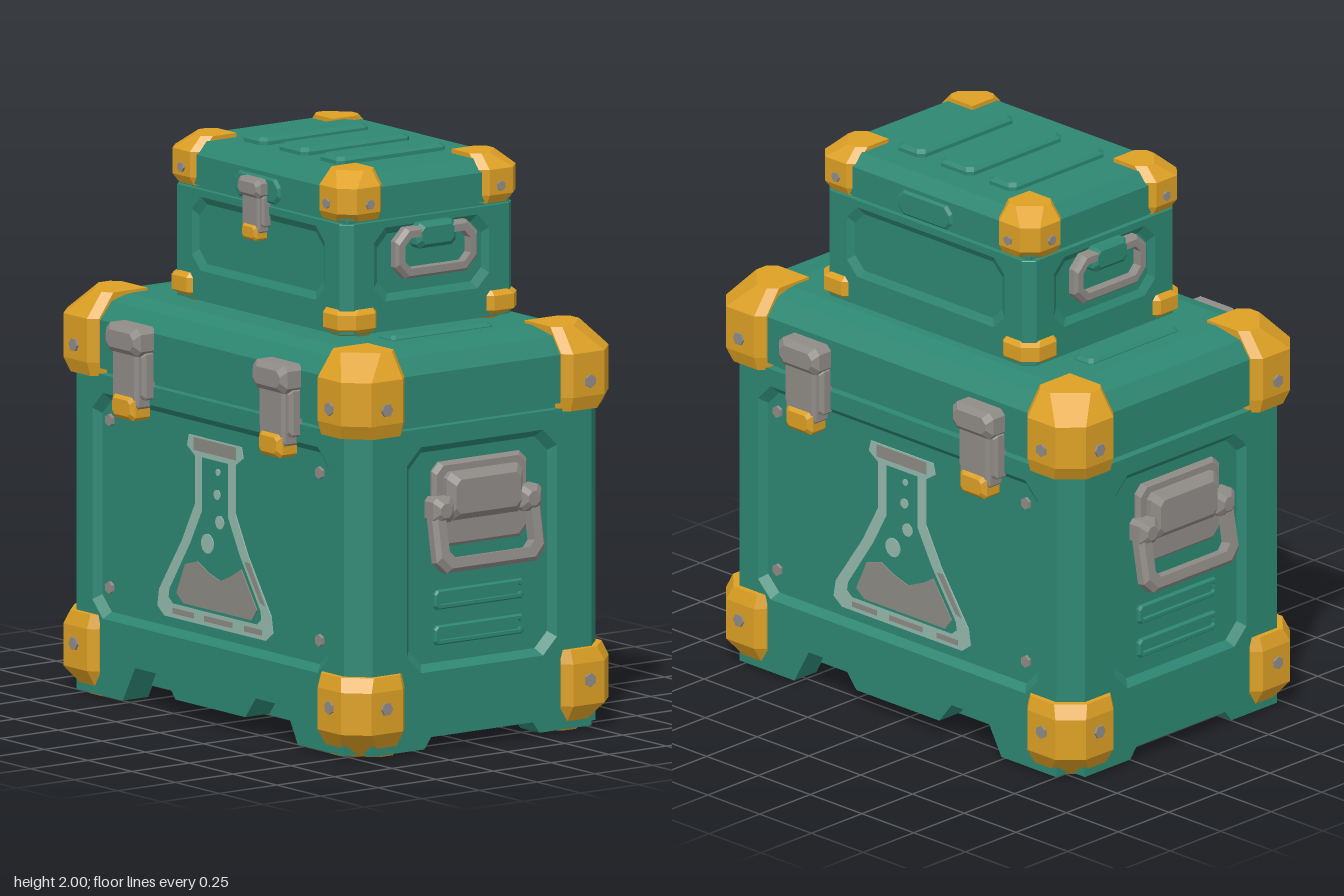
import * as THREE from 'three';

const mat = (name, color) => Object.assign(new THREE.MeshStandardMaterial({ color, flatShading: true }), { name });
const teal = mat('teal shell', 0x2d8772);
const gold = mat('gold guards', 0xdda024);
const grey = mat('grey metal', 0x8f8b87);
const pale = mat('pale paint', 0x94b9ac);
const faded = mat('faded paint', 0x8b8a83);

function add(parent, name, geo, material, x = 0, y = 0, z = 0) {
  const m = new THREE.Mesh(geo, material);
  m.name = name;
  m.position.set(x, y, z);
  parent.add(m);
  return m;
}

// Joins equal-length loops (counter-clockwise around the stacking axis) with flat faces.
function loft(loops, caps = true) {
  const p = [];
  const n = loops[0].length;
  for (let i = 0; i < loops.length - 1; i++) {
    for (let j = 0; j < n; j++) {
      const k = (j + 1) % n;
      const a = loops[i][j], b = loops[i][k], c = loops[i + 1][k], d = loops[i + 1][j];
      p.push(...a, ...b, ...c, ...a, ...c, ...d);
    }
  }
  if (caps) {
    const first = loops[0], last = loops[loops.length - 1];
    for (let j = 1; j < n - 1; j++) {
      p.push(...first[0], ...first[j + 1], ...first[j]);
      p.push(...last[0], ...last[j], ...last[j + 1]);
    }
  }
  const g = new THREE.BufferGeometry();
  g.setAttribute('position', new THREE.Float32BufferAttribute(p, 3));
  g.computeVertexNormals();
  return g;
}

// Rectangle with cut corners, by half sizes.
const oct = (w, h, c, z, cy = 0) => [
  [w - c, -h], [w, c - h], [w, h - c], [w - c, h], [c - w, h], [-w, h - c], [-w, c - h], [c - w, -h],
].map(([x, y]) => [x, y + cy, z]);

// Bevelled plate rising along +z.
const plate = (w, h, d, c = 0.015, b = 0.012) =>
  loft([oct(w, h, c, 0), oct(w, h, c, d - b), oct(w - b, h - b, c, d)]);

// Eight-sided ring.
const ring = (w, h, t, d, c) => loft([
  oct(w, h, c, 0), oct(w, h, c, d * 0.65), oct(w - t * 0.3, h - t * 0.3, c, d),
  oct(w - t, h - t, c * 0.6, d), oct(w - t, h - t, c * 0.6, 0), oct(w, h, c, 0),
], false);

// Shell stacked upwards from [y, halfX, halfZ, cut].
function shell(levels) {
  return loft(levels.map(([y, w, h, c]) => oct(w, h, c, y))).rotateX(-Math.PI / 2);
}

// Wall with a sloped recess.
function wall(w, y0, y1, rw, r0, r1, d, cut) {
  const h = (y1 - y0) / 2, cy = (y0 + y1) / 2, rh = (r1 - r0) / 2, rc = (r0 + r1) / 2;
  return loft([
    oct(w + d, h, 0.002, 0, cy), oct(w, h, 0.002, d, cy), oct(rw, rh, cut, d, rc),
    oct(rw - 0.025, rh - 0.025, cut * 0.9, 0.005, rc),
  ], false).toNonIndexed();
}

function recessFloor(rw, r0, r1, cut) {
  const a = oct(rw - 0.02, (r1 - r0) / 2 - 0.02, cut * 0.9, 0, (r0 + r1) / 2);
  return loft([a, a.map(([x, y]) => [x, y, 0.0051])]);
}

function guards(parent, label, s, h, ch, ex, ez, y, top, screws) {
  const outline = (i, yy) => {
    const o = s - i, e = 0.03, c = ch + i * 0.4;
    return [[0, 0], [0, o - e], [e, o], [o - c, o], [o, o - c], [o, e], [o - e, 0]].map(([x, z]) => [x, yy, z]);
  };
  const steps = top ? [[0.015, 0], [0, 0.17], [0, 0.7], [s * 0.26, 1]] : [[s * 0.24, 0], [0, 0.32], [0, 0.83], [0.015, 1]];
  const geo = loft(steps.map(([i, t]) => outline(i, t * h)));
  for (let k = 0; k < 4; k++) {
    const a = k * Math.PI / 2;
    const sx = k < 2 ? 1 : -1, sz = k === 0 || k === 3 ? 1 : -1;
    const g = new THREE.Group();
    g.name = label;
    g.position.set(sx * (ex - s), y, sz * (ez - s));
    g.rotation.y = a;
    parent.add(g);
    add(g, 'cornerGuard', geo, gold);
    if (!screws) continue;
    const sy = h * (top ? 0.35 : 0.62), r = s * 0.1;
    add(g, 'screw', new THREE.CylinderGeometry(r, r, 0.016, 6).rotateX(Math.PI / 2), grey, s * 0.42, sy, s);
    add(g, 'screw', new THREE.CylinderGeometry(r, r, 0.016, 6).rotateZ(Math.PI / 2), grey, s, sy, s * 0.42);
  }
}

function sideGroup(parent, name, k, dist) {
  const g = new THREE.Group();
  g.name = name;
  g.rotation.y = k * Math.PI / 2;
  g.position.set([0, dist, 0, -dist][k], 0, [dist, 0, -dist, 0][k]);
  parent.add(g);
  return g;
}

function latch(parent, x, y, z, s) {
  const g = new THREE.Group();
  g.name = 'latch';
  g.position.set(x, y, z);
  g.scale.setScalar(s);
  parent.add(g);
  add(g, 'latchCap', plate(0.098, 0.05, 0.085, 0.02, 0.02), grey, 0, 0.28, 0);
  add(g, 'latchArm', plate(0.072, 0.12, 0.066, 0.01), grey, 0, 0.16, 0);
  for (const e of [-1, 1]) add(g, 'latchCheek', plate(0.018, 0.085, 0.05, 0.008), grey, e * 0.076, 0.16, 0);
  add(g, 'latchTab', plate(0.064, 0.043, 0.078, 0.012, 0.015), gold, 0, 0.043, 0);
}

const poly = (pts) => pts.map(([x, y]) => new THREE.Vector2(x, y));
const mirrored = (half) => poly([...half, ...half.map(([x, y]) => [-x, y]).reverse()]);
const thin = (shape) => new THREE.ExtrudeGeometry(shape, { depth: 0.004, bevelEnabled: false, curveSegments: 8 });

function flask(parent, z) {
  const g = new THREE.Group();
  g.name = 'flaskMark';
  g.position.z = z;
  parent.add(g);
  const s = new THREE.Shape(mirrored([[0.15, 1], [0.16, 0.96], [0.115, 0.93], [0.115, 0.76], [0.19, 0.62], [0.32, 0.43], [0.33, 0.37], [0.29, 0.34]]));
  s.holes.push(new THREE.Path(mirrored([[0.075, 0.93], [0.075, 0.74], [0.14, 0.62], [0.26, 0.44], [0.265, 0.41], [0.24, 0.39]])));
  add(g, 'flaskOutline', thin(s), pale);
  add(g, 'flaskLiquid', thin(new THREE.Shape(poly([[-0.22, 0.43], [-0.18, 0.4], [0.21, 0.4], [0.24, 0.44],
    [0.15, 0.57], [0.1, 0.54], [0.03, 0.51], [-0.04, 0.53], [-0.1, 0.56], [-0.17, 0.54]]))), faded, 0, 0, 0.001);
  add(g, 'rimPaint', new THREE.BoxGeometry(0.24, 0.045, 0.004), faded, 0, 0.972, 0.004);
  for (const [x, w] of [[-0.18, 0.12], [0.02, 0.16], [0.22, 0.1]])
    add(g, 'basePaint', new THREE.BoxGeometry(w, 0.02, 0.004), faded, x, 0.365, 0.004);
  add(g, 'sidePaint', thin(new THREE.Shape(poly([[0.17, 0.6], [0.26, 0.47], [0.29, 0.46], [0.2, 0.6]]))), faded, 0, 0, 0.002);
  for (const [x, y, r] of [[-0.045, 0.63, 0.035], [0.025, 0.715, 0.024], [0.01, 0.81, 0.018], [0.015, 0.89, 0.012]])
    add(g, 'bubble', thin(new THREE.Shape().absarc(x, y, r, 0, Math.PI * 2)), pale);
}

function largeCase() {
  const g = new THREE.Group();
  g.name = 'largeCase';
  g.position.z = -0.015;
  const hx = 0.835, hz = 0.545, d = 0.03, c = 0.07;
  add(g, 'core', shell([[0.14, hx - d, hz - d, 0.012], [1.2, hx - d, hz - d, 0.012]]), teal);
  add(g, 'belly', shell([[0.055, 0.76, 0.44, 0.02], [0.15, 0.76, 0.44, 0.02]]), teal);
  add(g, 'bellyPlate', new THREE.BoxGeometry(0.7, 0.02, 0.6), teal, 0, 0.052, 0);
  add(g, 'lid', shell([[1.16, hx, hz, c], [1.33, hx, hz, c], [1.39, hx - 0.045, hz - 0.05, c],
    [1.41, hx - 0.16, hz - 0.12, c]]), teal);
  for (const x of [-0.57, -0.2, 0.2, 0.57])
    add(g, 'lidRib', plate(0.045, 0.22, 0.025, 0.012).rotateX(-Math.PI / 2), teal, x, 1.4, 0);

  for (let k = 0; k < 4; k++) {
    const end = k % 2 === 1;
    const dist = (end ? hx : hz) - d, w = (end ? hz : hx) - c, rw = end ? 0.325 : 0.675;
    const s = sideGroup(g, end ? 'endWall' : 'longWall', k, dist);
    add(s, 'wallFrame', wall(w, 0.27, 1.14, rw, 0.28, 1.075, d, 0.06), teal);
    add(s, 'wallFloor', recessFloor(rw, 0.28, 1.075, 0.06), teal);
    // Base skirt with notches between the feet
    const half = end ? [[w, 0.27], [w, 0.01], [0.25, 0.01], [0.22, 0.05]]
      : [[w, 0.27], [w, 0.01], [0.5, 0.01], [0.43, 0.135], [0.26, 0.135], [0.2, 0.06]];
    add(s, 'baseSkirt', new THREE.ExtrudeGeometry(new THREE.Shape(mirrored(half)),
      { depth: 0.11, bevelEnabled: false }), teal, 0, 0, d - 0.11);
    if (end) {
      add(s, 'handlePlate', plate(0.205, 0.15, 0.022, 0.03), grey, 0, 0.86, 0.004);
      add(s, 'handleBlock', plate(0.165, 0.085, 0.06, 0.02, 0.025), grey, 0, 0.89, 0.01);
      for (const e of [-1, 1]) add(s, 'handleHinge', plate(0.045, 0.045, 0.07, 0.015, 0.02), grey, e * 0.19, 0.85, 0.01);
      add(s, 'handleBail', ring(0.235, 0.13, 0.05, 0.045, 0.04), grey, 0, 0.755, 0.036).rotation.x = -0.18;
      for (const y of [0.4, 0.525]) add(s, 'ventSlot', ring(0.195, 0.034, 0.016, 0.016, 0.012), teal, 0, y, 0.004);
    } else {
      flask(s, 0.006);
      for (const x of [-0.42, 0.42]) latch(s, x, k ? 0.98 : 1.02, d - 0.008, 1);
      for (const x of [-0.6, 0.6]) for (const y of [0.39, 0.98])
        add(s, 'stud', new THREE.CylinderGeometry(0.022, 0.022, 0.014, 6).rotateX(Math.PI / 2), grey, x, y, 0.01);
    }
  }
  guards(g, 'upperGuard', 0.24, 0.29, 0.075, 0.87, 0.58, 1.13, true, true);
  guards(g, 'lowerGuard', 0.24, 0.29, 0.075, 0.87, 0.58, 0, false, true);
  return g;
}

function smallCase() {
  const g = new THREE.Group();
  g.name = 'smallCase';
  g.position.z = -0.05;
  const hx = 0.5, hz = 0.372, d = 0.02, c = 0.035;
  add(g, 'core', shell([[1.42, hx - d, hz - d, 0.005], [1.85, hx - d, hz - d, 0.005]]), teal);
  add(g, 'lid', shell([[1.825, hx, hz, c], [1.93, hx, hz, c], [1.975, hx - 0.04, hz - 0.04, c]]), teal);
  for (const [x, w] of [[-0.22, 0.065], [0, 0.08], [0.22, 0.065]])
    add(g, 'lidRib', plate(w, 0.235, 0.03, 0.02).rotateX(-Math.PI / 2), teal, x, 1.97, 0);

  for (let k = 0; k < 4; k++) {
    const end = k % 2 === 1;
    const s = sideGroup(g, end ? 'endWall' : 'longWall', k, (end ? hx : hz) - d);
    const w = (end ? hz : hx) - c, rw = end ? 0.25 : 0.38;
    add(s, 'wallFrame', wall(w, 1.42, 1.81, rw, 1.525, 1.785, d, 0.05), teal);
    add(s, 'wallFloor', recessFloor(rw, 1.525, 1.785, 0.05), teal);
    if (end) {
      add(s, 'handleMount', plate(0.085, 0.045, 0.055, 0.015, 0.015), teal, 0, 1.745, 0.005);
      add(s, 'handleBail', ring(0.178, 0.09, 0.036, 0.036, 0.045), grey, 0, 1.69, 0.022);
    } else {
      add(s, 'lidTrim', plate(0.13, 0.045, 0.014, 0.025, 0.008), teal, 0, 1.87, d - 0.004);
      if (k === 0) latch(s, 0, 1.69, d - 0.006, 0.66);
    }
  }
  guards(g, 'upperGuard', 0.18, 0.17, 0.05, 0.52, 0.388, 1.82, true, true);
  guards(g, 'lowerGuard', 0.16, 0.1, 0.045, 0.52, 0.388, 1.41, false, false);
  return g;
}

export function createModel() {
  const model = new THREE.Group();
  model.name = 'stackedCases';
  model.add(largeCase(), smallCase());
  return model;
}
